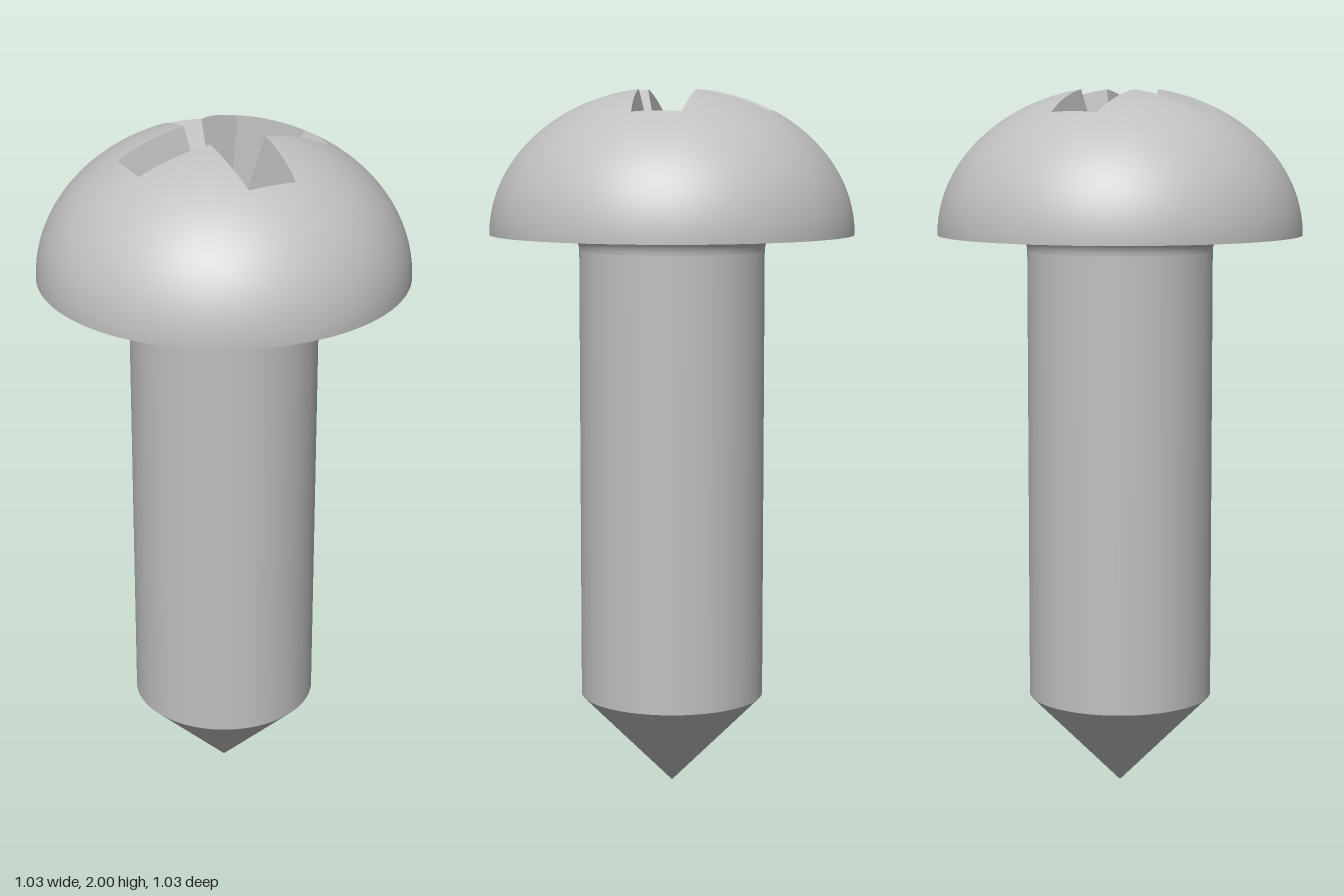
import * as THREE from 'three';

const HEAD_R = 0.515, HEAD_Y = 1.595, DOME_H = 0.415; // half-ellipsoid head
const SHANK_R = 0.2625, SHOULDER_Y = 0.265, FILLET = 0.045;
const APEX = new THREE.Vector3(0, 1.61, 0); // deepest point of the cross recess

// Point on the dome at a given radius and angle
function domePoint(r, deg) {
  const a = THREE.MathUtils.degToRad(deg);
  const y = HEAD_Y + DOME_H * Math.sqrt(1 - (r / HEAD_R) ** 2);
  return new THREE.Vector3(r * Math.cos(a), y, r * Math.sin(a));
}

// Where the ray from the recess apex through p leaves the dome
function castToDome(p) {
  const d = p.clone().sub(APEX);
  const o = APEX.y - HEAD_Y;
  const A = (d.x * d.x + d.z * d.z) / HEAD_R ** 2 + (d.y / DOME_H) ** 2;
  const B = (2 * o * d.y) / DOME_H ** 2;
  const C = (o / DOME_H) ** 2 - 1;
  const t = (-B + Math.sqrt(B * B - 4 * A * C)) / (2 * A);
  return APEX.clone().addScaledVector(d, t);
}

// Rim of the cross: four arms, each with two outer corners and one inner corner
function crossRim(steps) {
  const corners = [];
  for (let k = 0; k < 4; k++) {
    corners.push(domePoint(0.29, 8.8 + 90 * k), domePoint(0.29, 36.2 + 90 * k), domePoint(0.114, 67.5 + 90 * k));
  }
  const rim = [];
  corners.forEach((p, i) => {
    const q = corners[(i + 1) % corners.length];
    for (let s = 0; s < steps; s++) rim.push(castToDome(p.clone().lerp(q, s / steps)));
  });
  return rim;
}

// Smooth dome skin running from the cross rim down to the head edge
function domeGeometry(rim, rows) {
  const pos = [], nor = [], idx = [];
  const n = rim.length;
  for (let j = 0; j <= rows; j++) {
    for (const p of rim) {
      const phi = Math.atan2(p.z, p.x);
      const start = Math.asin(Math.hypot(p.x, p.z) / HEAD_R);
      const psi = THREE.MathUtils.lerp(start, Math.PI / 2, j / rows);
      const x = HEAD_R * Math.sin(psi) * Math.cos(phi);
      const z = HEAD_R * Math.sin(psi) * Math.sin(phi);
      const h = DOME_H * Math.cos(psi);
      const normal = new THREE.Vector3(x / HEAD_R ** 2, h / DOME_H ** 2, z / HEAD_R ** 2).normalize();
      pos.push(x, HEAD_Y + h, z);
      nor.push(normal.x, normal.y, normal.z);
    }
  }
  for (let j = 0; j < rows; j++) {
    for (let i = 0; i < n; i++) {
      const a = j * n + i, b = j * n + ((i + 1) % n);
      idx.push(a, b, a + n, b, b + n, a + n);
    }
  }
  const g = new THREE.BufferGeometry();
  g.setAttribute('position', new THREE.Float32BufferAttribute(pos, 3));
  g.setAttribute('normal', new THREE.Float32BufferAttribute(nor, 3));
  g.setIndex(idx);
  return g;
}

// Flat recess faces fanning from the apex to the rim
function recessGeometry(rim) {
  const pos = [];
  rim.forEach((p, i) => {
    const q = rim[(i + 1) % rim.length];
    pos.push(...APEX.toArray(), ...q.toArray(), ...p.toArray());
  });
  const g = new THREE.BufferGeometry();
  g.setAttribute('position', new THREE.Float32BufferAttribute(pos, 3));
  g.computeVertexNormals();
  return g;
}

export function createModel() {
  const model = new THREE.Group();
  model.name = 'screw';
  const steel = new THREE.MeshStandardMaterial({ color: 0xc0c0c0 });
  steel.name = 'steel grey';

  const add = (name, geometry) => {
    const mesh = new THREE.Mesh(geometry, steel);
    mesh.name = name;
    model.add(mesh);
  };
  const lathe = (points) => new THREE.LatheGeometry(points.map(([r, y]) => new THREE.Vector2(r, y)), 96);

  // Conical tip and straight shank
  add('tip', lathe([[0, 0], [SHANK_R, SHOULDER_Y]]));
  add('shank', lathe([[SHANK_R, SHOULDER_Y], [SHANK_R, HEAD_Y - FILLET]]));

  // Rounded neck blending the shank into the head
  const neck = [];
  for (let i = 0; i <= 8; i++) {
    const a = (i / 8) * Math.PI / 2;
    neck.push([SHANK_R + FILLET * (1 - Math.cos(a)), HEAD_Y - FILLET + FILLET * Math.sin(a)]);
  }
  add('neckFillet', lathe(neck));

  // Head: flat underside, dome and cross recess
  add('headUnderside', lathe([[SHANK_R + FILLET, HEAD_Y], [HEAD_R, HEAD_Y]]));
  const rim = crossRim(10);
  add('headDome', domeGeometry(rim, 24));
  add('crossRecess', recessGeometry(rim));

  return model;
}
